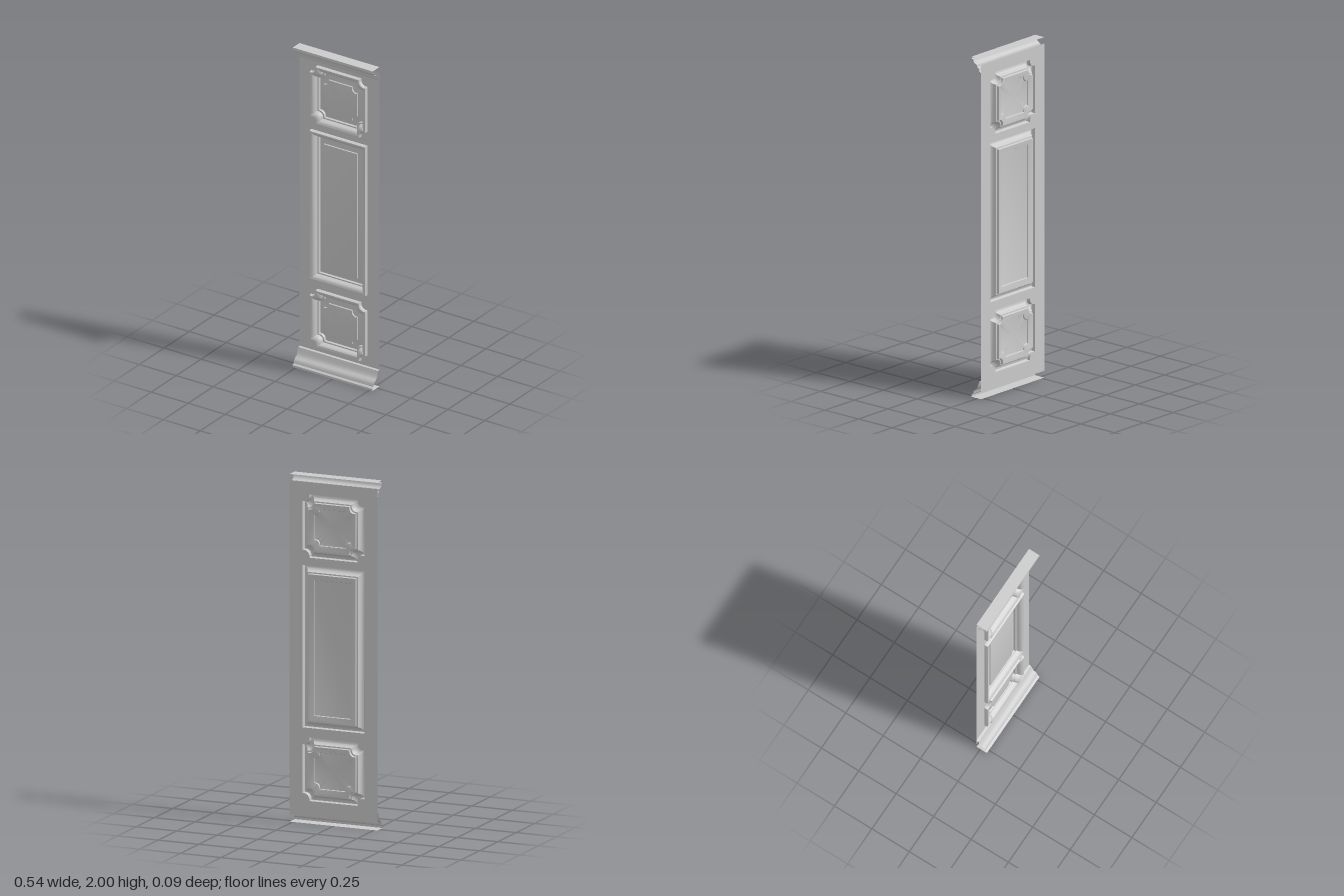
import * as THREE from 'three';
import { toCreasedNormals } from 'three/addons/utils/BufferGeometryUtils.js';

const HALF_W = 0.27;
const BACK = -0.025; // plane of the flat board
const material = new THREE.MeshStandardMaterial({ color: 0xcccccc, side: THREE.DoubleSide });

// Skin a surface through equal-length cross-sections
function loft(sections, closed, capEnd) {
  const n = sections[0].length;
  const pos = sections.flat().flatMap(p => [p.x, p.y, p.z]);
  const index = [];
  for (let s = 0; s < sections.length - 1; s++) {
    for (let i = 0; i < (closed ? n : n - 1); i++) {
      const j = (i + 1) % n;
      const a = s * n + i, b = s * n + j, c = a + n, d = b + n;
      index.push(a, b, d, a, d, c);
    }
  }
  if (capEnd) {
    const last = sections[sections.length - 1];
    const centre = last.reduce((sum, p) => sum.add(p), new THREE.Vector3()).divideScalar(n);
    const start = (sections.length - 1) * n, c = pos.length / 3;
    pos.push(centre.x, centre.y, centre.z);
    for (let i = 0; i < n; i++) index.push(start + i, start + (i + 1) % n, c);
  }
  const geo = new THREE.BufferGeometry();
  geo.setAttribute('position', new THREE.Float32BufferAttribute(pos, 3));
  geo.setIndex(index);
  return toCreasedNormals(geo, 0.6);
}

// Counter-clockwise rectangle; notch > 0 gives shouldered, scooped corners
function outline(hx, hy, notch, cy, z) {
  const corner = [];
  if (notch > 0) {
    const k = 0.2 * notch, r = 0.8 * notch;
    corner.push([hx, hy - notch]);
    for (let i = 0; i <= 6; i++) {
      const a = -Math.PI / 2 - (i / 6) * Math.PI / 2;
      corner.push([hx - k + r * Math.cos(a), hy - k + r * Math.sin(a)]);
    }
    corner.push([hx - notch, hy]);
  } else corner.push([hx, hy]);
  const points = [];
  for (const [sx, sy] of [[1, 1], [-1, 1], [-1, -1], [1, -1]]) {
    const run = sx * sy > 0 ? corner : [...corner].reverse();
    for (const [x, y] of run) points.push(new THREE.Vector3(sx * x, cy + sy * y, z));
  }
  return points;
}

// Moulding section: [inset from the panel edge, z]
const moulding = [
  [0, BACK], [0, -0.009], [0.004, -0.003], [0.012, -0.003], [0.02, -0.008],
  [0.028, -0.016], [0.031, -0.025], [0.035, -0.035], [0.042, -0.036],
  [0.045, -0.048], [0.05, -0.048], [0.076, -0.04], [0.079, -0.034],
];

const panels = [
  { name: 'lowerPanel', cy: 0.3125, hx: 0.19, hy: 0.1825, notch: 0.042 },
  { name: 'middlePanel', cy: 1.0175, hx: 0.19, hy: 0.4675, notch: 0 },
  { name: 'upperPanel', cy: 1.7125, hx: 0.19, hy: 0.1825, notch: 0.042 },
];

// Strip mouldings: [z, y] from top to bottom
const crownProfile = [
  [BACK, 2], [0.043, 2], [0.045, 1.988], [0.033, 1.985], [0.031, 1.974], [0.022, 1.964],
  [0.006, 1.958], [0.003, 1.945], [-0.007, 1.94], [-0.012, 1.922], [BACK, 1.915],
];
const baseProfile = [
  [BACK, 0.105], [-0.012, 0.102], [-0.006, 0.085], [0, 0.067], [0.009, 0.054], [0.022, 0.046],
  [0.03, 0.035], [0.034, 0.02], [0.045, 0.012], [0.045, 0], [BACK, 0],
];

export function createModel() {
  const group = new THREE.Group();
  const add = (name, geo) => {
    const mesh = new THREE.Mesh(geo, material);
    mesh.name = name;
    group.add(mesh);
  };

  // Flat board with an opening for each panel
  const board = new THREE.Shape([
    [-HALF_W, 0.04], [HALF_W, 0.04], [HALF_W, 1.963], [-HALF_W, 1.963],
  ].map(([x, y]) => new THREE.Vector2(x, y)));
  for (const p of panels) {
    const edge = outline(p.hx, p.hy, p.notch, p.cy, 0).map(v => new THREE.Vector2(v.x, v.y));
    board.holes.push(new THREE.Path(edge.reverse()));
  }
  add('board', new THREE.ShapeGeometry(board).translate(0, 0, BACK));

  // Framed panels: raised rim, deep recess, raised field
  for (const p of panels) {
    const rings = moulding.map(([inset, z]) =>
      outline(p.hx - inset, p.hy - inset, p.notch * (1 - inset * 2.5), p.cy, z));
    add(p.name, loft(rings, true, true));
  }

  // Open crown and base strips
  const strip = profile => loft(
    profile.map(([z, y]) => [-HALF_W, HALF_W].map(x => new THREE.Vector3(x, y, z))).reverse(),
    false, false);
  add('crownMoulding', strip(crownProfile));
  add('baseMoulding', strip(baseProfile));

  return group;
}
